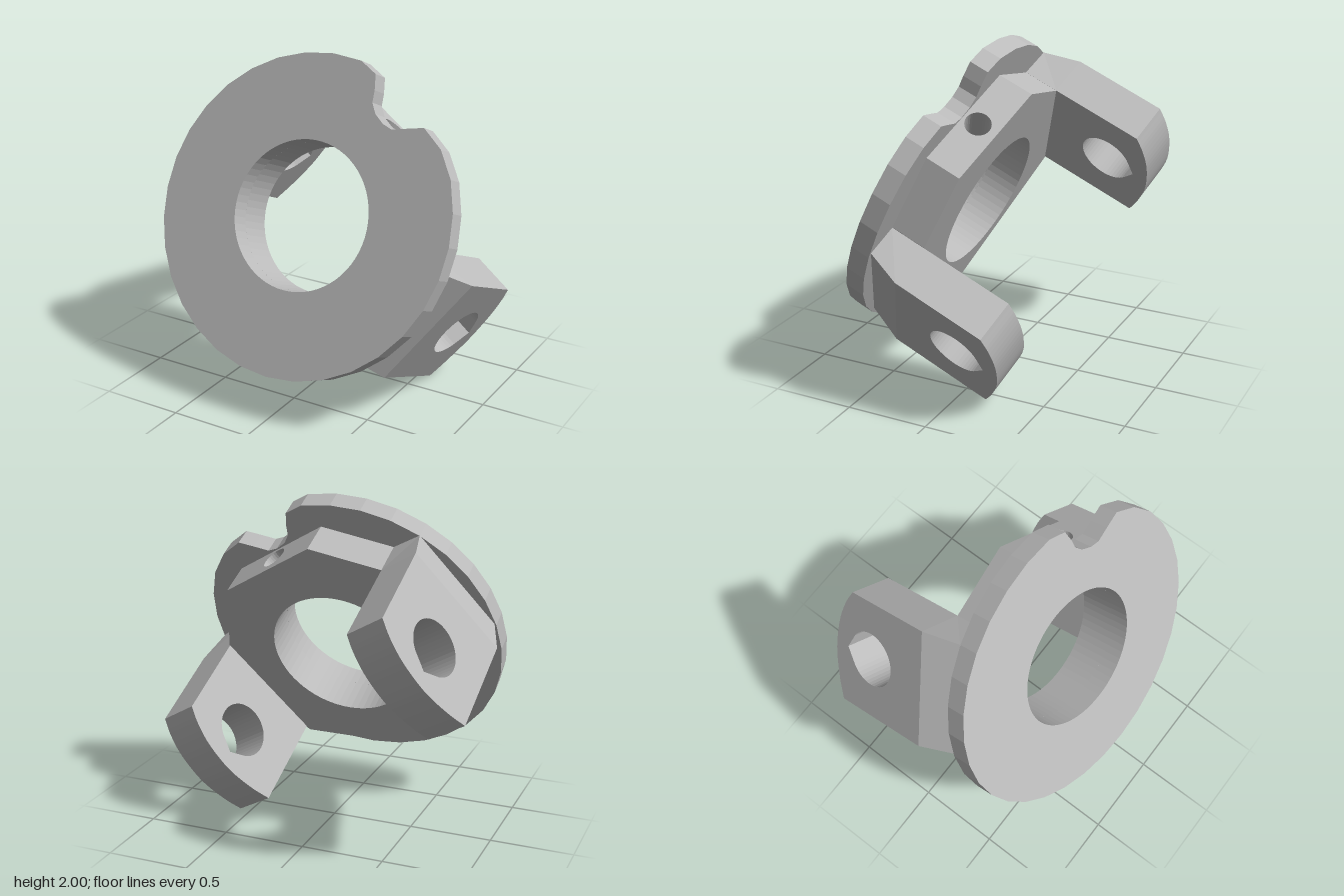
import * as THREE from 'three';

const BORE = 0.437, RIM = 0.94;
const PLATE = 0.12, BACK = 0.34;          // depths behind the front face
const V = (x, y) => new THREE.Vector2(x, y);

const steel = new THREE.MeshStandardMaterial({ color: 0xbcbcbc });
steel.name = 'grey metal';

function extrude(points, depth, holes = []) {
  const shape = new THREE.Shape(points);
  for (const h of holes) shape.holes.push(new THREE.Path(h));
  return new THREE.ExtrudeGeometry(shape, { depth, bevelEnabled: false });
}

function arc(cx, cy, r, from, to, n) {
  return Array.from({ length: n + 1 }, (_, i) => {
    const a = from + (to - from) * i / n;
    return V(cx + r * Math.cos(a), cy + r * Math.sin(a));
  });
}

const circle = (cx, cy, r, n) => arc(cx, cy, r, 0, Math.PI * 2, n).slice(0, -1);

function part(name, geometry) {
  const mesh = new THREE.Mesh(geometry, steel);
  mesh.name = name;
  return mesh;
}

// Places an object whose x runs along a flat direction and whose y runs backwards
function orient(object, dir, x = 0, y = 0) {
  const X = new THREE.Vector3(dir.x, dir.y, 0), Y = new THREE.Vector3(0, 0, -1);
  const m = new THREE.Matrix4().makeBasis(X, Y, X.clone().cross(Y));
  object.quaternion.setFromRotationMatrix(m);
  object.position.set(x, y, 0);
  return object;
}

// Round plate with a scalloped notch in its rim
function plate() {
  const step = Math.PI * 2 / 32;
  const rim = [];
  for (let i = 7; i <= 34; i++) {
    rim.push(V(RIM * Math.cos(i * step), RIM * Math.sin(i * step)));
  }
  const notch = [[0.775, 0.51], [0.65, 0.61], [0.55, 0.59], [0.46, 0.57], [0.4, 0.592],
    [0.34, 0.64], [0.307, 0.7], [0.305, 0.77], [0.29, 0.86]].map(p => V(...p));
  const g = extrude([...rim, ...notch], PLATE, [circle(0, 0, BORE, 64)]);
  return part('plate', g.translate(0, 0, -PLATE));
}

// Many-sided hub behind the plate, with a slot filled by the drilled block
const FACET = Math.atan2(0.846, 0.533), REACH = 0.707, HALF = 0.11;
const along = V(Math.sin(FACET), -Math.cos(FACET));
const outward = V(Math.cos(FACET), Math.sin(FACET));

function hub() {
  const at = (r, p) => outward.clone().multiplyScalar(r).addScaledVector(along, p);
  const corners = [[0.675, 0.41], [0.76, -0.035], [0.35, -0.67], [0.33, -0.69], [-0.058, -0.69],
    [-0.765, 0.055], [-0.355, 0.685], [0.08, 0.785]].map(p => V(...p));
  const d = Math.asin(HALF / BORE);
  const inner = arc(0, 0, BORE, FACET + d, FACET - d + Math.PI * 2, 60);
  const g = extrude([at(REACH, HALF), ...corners, at(REACH, -HALF), ...inner], BACK - PLATE);
  return part('hub', g.translate(0, 0, -BACK));
}

function drilledBlock() {
  const outline = [];
  for (let i = -4; i <= 4; i++) outline.push(V(HALF * i / 4, PLATE));
  for (let i = 4; i >= -4; i--) outline.push(V(HALF * i / 4, BACK));
  const g = extrude(outline, 1, [circle(0, 0.215, 0.077, 32)]);
  // Inner end follows the bore, outer end lies on the facet
  const pos = g.attributes.position;
  for (let i = 0; i < pos.count; i++) {
    const p = pos.getX(i);
    pos.setZ(i, pos.getZ(i) < 0.5 ? Math.sqrt(BORE * BORE - p * p) : REACH);
  }
  g.computeVertexNormals();
  return orient(part('drilledBlock', g), along);
}

// Lug: rounded ear with a teardrop hole on a tapered foot
const LENGTH = 0.748, THICK = 0.266;
const lugDir = V(0.548, 0.836).normalize();

function lug(name, x, y, outerIsFar) {
  const group = new THREE.Group();
  group.name = name;
  const tip = new THREE.CatmullRomCurve3([[0, 0.987], [0.12, 1.02], [0.3, 1.045], [0.42, 1.038],
    [0.555, 1.01], [0.67, 0.96], [LENGTH, 0.908]].map(p => new THREE.Vector3(p[0], p[1], 0)));
  const end = tip.getPoints(24).map(p => V(p.x, p.y));
  const hole = [...arc(0.38, 0.75, 0.168, Math.PI * 0.7, Math.PI * 2.3, 36), V(0.38, 0.945)];
  group.add(part('ear', extrude([V(0, BACK), ...end, V(LENGTH, BACK)], THICK, [hole])));

  const foot = new THREE.BoxGeometry(LENGTH, BACK - PLATE, THICK).toNonIndexed();
  foot.translate(LENGTH / 2, (BACK + PLATE) / 2, THICK / 2);
  const pos = foot.attributes.position;
  for (let i = 0; i < pos.count; i++) {
    const far = pos.getZ(i) > THICK / 2;
    if (pos.getY(i) < 0.2 && far === outerIsFar) {
      pos.setZ(i, outerIsFar ? 0.195 : THICK - 0.195);
      pos.setX(i, pos.getX(i) < 0.3 ? 0.03 : LENGTH - 0.01);
    }
  }
  foot.computeVertexNormals();
  group.add(part('foot', foot));
  return orient(group, lugDir, x, y);
}

export function createModel() {
  const model = new THREE.Group();
  model.name = 'flange';
  const tilted = new THREE.Group();
  tilted.name = 'tiltedBody';
  tilted.position.set(0, 1.15, 0.415);
  tilted.rotation.x = -0.416;
  tilted.add(plate(), hub(), drilledBlock());
  tilted.add(lug('rightLug', -0.765, 0.06, true));
  tilted.add(lug('leftLug', 0.57, -0.81, false));
  model.add(tilted);
  return model;
}
